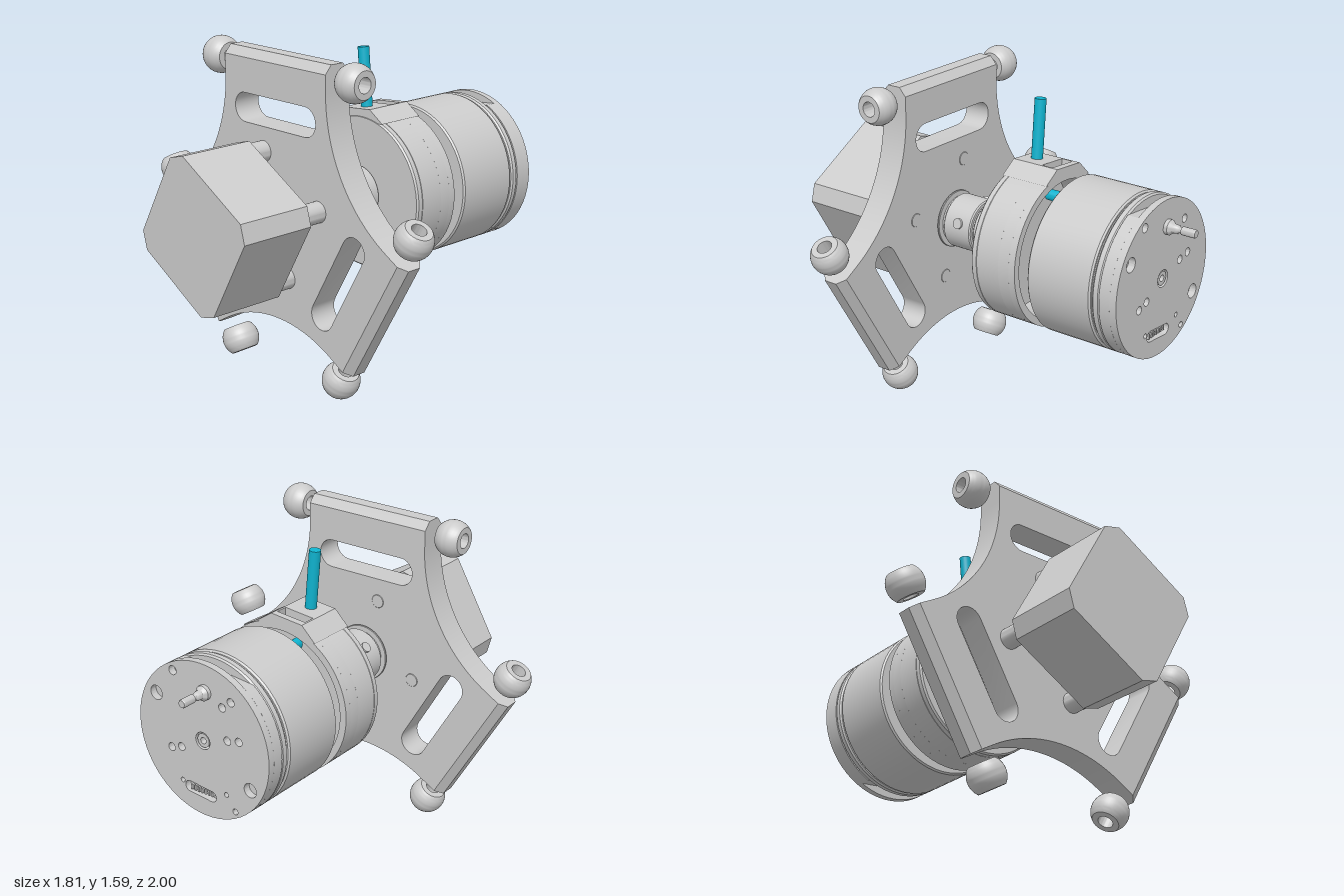
import * as THREE from 'three';
import { toCreasedNormals } from 'three/addons/utils/BufferGeometryUtils.js';

const grey = new THREE.MeshStandardMaterial({ color: 0xcccccc });
const cyan = new THREE.MeshStandardMaterial({ color: 0x0fb4d0 });
const TILT = THREE.MathUtils.degToRad(5); // cable side leans slightly off vertical

function add(parent, name, geometry, material = grey) {
  const mesh = new THREE.Mesh(geometry, material);
  mesh.name = name;
  parent.add(mesh);
  return mesh;
}

// Solid of revolution about z; profile is [radius, z] with z increasing on the outside
function turned(profile, segments = 64) {
  const g = new THREE.LatheGeometry(profile.map(([r, z]) => new THREE.Vector2(r, z)), segments);
  return toCreasedNormals(g.rotateX(Math.PI / 2), 0.5);
}

// Drum along z with small bevels
function drum(r, z0, z1, b = 0.008, segments = 64) {
  return turned([[0, z0], [r - b, z0], [r, z0 + b], [r, z1 - b], [r - b, z1], [0, z1]], segments);
}

function slab(shape, z0, z1) {
  const g = new THREE.ExtrudeGeometry(shape, { depth: z1 - z0, bevelEnabled: false, curveSegments: 32 });
  return toCreasedNormals(g.translate(0, 0, z0), 0.5);
}

function polygon(points) {
  return new THREE.Shape(points.map(([x, y]) => new THREE.Vector2(x, y)));
}

function roundHole(x, y, r) {
  return new THREE.Path().absarc(x, y, r, 0, Math.PI * 2, true);
}

// Slot of half length h (between end centres), turned by a, centred at distance d along its own up direction
function slotHole(h, r, d, a) {
  const p = [];
  for (let i = 0; i <= 32; i++) {
    const side = i <= 16 ? 1 : -1;
    const t = -Math.PI / 2 + (i <= 16 ? i : i - 1) * Math.PI / 16 + (i > 16 ? Math.PI / 16 : 0);
    p.push(new THREE.Vector2(side * h + r * Math.cos(t), d + r * Math.sin(t)).rotateAround(new THREE.Vector2(), a));
  }
  return new THREE.Path(p);
}

// Ring sector for the cup wall
function ringShape(ro, ri, a0, a1) {
  const s = new THREE.Shape();
  s.absarc(0, 0, ro, a0, a1, false);
  s.absarc(0, 0, ri, a1, a0, true);
  return s;
}

function buildPlate(rig) {
  const W = 0.342, END = 0.71, TIP = 0.75, D = 1.25, R = D * Math.cos(Math.PI / 6) - W;
  const shape = new THREE.Shape();
  const arms = [0, 1, 2].map((i) => -i * Math.PI * 2 / 3);
  arms.forEach((a, i) => {
    const at = (x, y) => new THREE.Vector2(x, y).rotateAround(new THREE.Vector2(), a);
    const p = at(-W, END), q = at(W, END);
    if (i === 0) shape.moveTo(p.x, p.y); else shape.lineTo(p.x, p.y);
    shape.lineTo(q.x, q.y);
    // hollow flank between this arm and the next
    const c = at(D * Math.cos(Math.PI / 6), D / 2);
    shape.absarc(c.x, c.y, R, a + Math.PI, a + Math.PI * 4 / 3, false);
    shape.holes.push(slotHole(0.205, 0.07, 0.476, a));
  });
  add(rig, 'triangularPlate', slab(shape, 0.37, 0.51));

  // One ball: truncated sphere with a bore along x
  const profile = [[0.036, -0.0625]];
  const lim = Math.asin(0.0625 / 0.09);
  for (let i = 0; i <= 16; i++) {
    const t = -lim + 2 * lim * i / 16;
    profile.push([0.09 * Math.cos(t), 0.09 * Math.sin(t)]);
  }
  profile.push([0.036, 0.0625], [0.036, -0.0625]);
  const ball = turned(profile, 40).rotateY(Math.PI / 2);

  // Chamfered arm tips and ball joints
  const tip = slab(polygon([[-0.07, END], [0.07, END], [0.035, TIP], [-0.035, TIP]]), -W, W);
  tip.rotateY(Math.PI / 2).translate(0, 0, 0.44);
  for (const a of arms) {
    const arm = new THREE.Group();
    arm.name = 'armEnd';
    arm.rotation.z = a;
    rig.add(arm);
    add(arm, 'armTip', tip);
    for (const s of [-1, 1]) add(arm, 'jointBall', ball).position.set(s * 0.454, 0.68, 0.44);
  }
}

function buildFrontMotor(rig) {
  // Square block with cut corners
  const pts = [];
  for (let k = 0; k < 4; k++) {
    for (const o of [-0.658, 0.658]) {
      const t = Math.PI / 3 + k * Math.PI / 2 + o;
      pts.push([0.366 * Math.cos(t), 0.366 * Math.sin(t)]);
    }
  }
  add(rig, 'frontMotorBlock', slab(polygon(pts), 0.62, 1.0));
  for (let k = 0; k < 4; k++) {
    const t = Math.PI / 12 + k * Math.PI / 2;
    const x = 0.3 * Math.cos(t), y = 0.3 * Math.sin(t);
    add(rig, 'standoff', drum(0.05, 0.5, 0.63, 0.002, 32)).position.set(x, y, 0);
    add(rig, 'plateScrewEnd', drum(0.034, 0.367, 0.4, 0.002, 32)).position.set(x, y, 0);
  }
  add(rig, 'clampCollar', drum(0.15, 0.52, 0.575));
  add(rig, 'collarBoss', drum(0.1, 0.505, 0.6));
  add(rig, 'collarScrew', new THREE.CylinderGeometry(0.022, 0.022, 0.08, 20)).position.set(0.1, 0.12, 0.55);
  add(rig, 'frontShaft', drum(0.05, 0.3, 0.63, 0.002, 32));
}

function buildCoupling(rig) {
  add(rig, 'couplingCore', drum(0.115, -0.05, 0.34));
  for (const [z0, z1] of [[-0.03, 0.148], [0.166, 0.33]]) {
    const zm = z0 < 0 ? 0.06 : 0.24;
    add(rig, 'couplingClamp', drum(0.135, z0, z1, 0.006));
    // clamp screws around each half
    for (const a of [0.3, 0.3 + Math.PI * 2 / 3, 0.3 - Math.PI * 2 / 3]) {
      const g = new THREE.CylinderGeometry(0.026, 0.026, 0.05, 20).rotateZ(Math.PI / 2);
      const m = add(rig, 'couplingScrew', g);
      m.position.set(0.12 * Math.cos(a), 0.12 * Math.sin(a), zm);
      m.rotation.z = a;
    }
  }
  add(rig, 'bearingFlange', drum(0.12, 0.335, 0.348, 0.002));
  add(rig, 'bearingRim', drum(0.145, 0.35, 0.36, 0.002));
  add(rig, 'bearingSeat', drum(0.11, 0.33, 0.38, 0.002));
}

function buildCup(rig) {
  const cup = new THREE.Group();
  cup.name = 'rearCup';
  cup.rotation.z = TILT;
  rig.add(cup);
  const R = 0.38, RI = 0.345, up = Math.PI / 2, gap = 0.22;
  add(cup, 'cupFace', drum(R, -0.08, -0.04));
  const full = ringShape(R, RI, 0, Math.PI * 2);
  add(cup, 'cupWall', slab(full, -0.2, -0.075));
  add(cup, 'cupSlottedWall', slab(ringShape(R, RI, up + gap, up - gap + Math.PI * 2), -0.26, -0.2));
  add(cup, 'cupRim', slab(full, -0.295, -0.26));

  // Flat cable pad on top of the cup, open above the slot
  const pad = polygon([[-0.17, 0.345], [0.17, 0.345], [0.09, 0.41], [-0.09, 0.41]]);
  add(cup, 'cablePad', slab(pad, -0.2, -0.042));
  add(cup, 'cablePadRear', slab(pad, -0.295, -0.26));
  for (const s of [-1, 1]) {
    const cheek = s < 0 ? [[-0.17, 0.345], [-0.08, 0.345], [-0.08, 0.41], [-0.09, 0.41]]
      : [[0.17, 0.345], [0.09, 0.41], [0.08, 0.41], [0.08, 0.345]];
    add(cup, 'cablePadCheek', slab(polygon(cheek), -0.26, -0.2));
  }
  add(cup, 'upperCable', new THREE.CylinderGeometry(0.028, 0.028, 0.38, 24), cyan).position.set(0, 0.51, -0.112);
  add(cup, 'innerCable', drum(0.027, -0.38, -0.19, 0.001, 24), cyan).position.y = 0.25;
}

function buildRearMotor(rig) {
  const motor = new THREE.Group();
  motor.name = 'rearMotor';
  rig.add(motor);
  const R = 0.38;
  add(motor, 'motorStub', drum(0.038, -0.37, -0.32, 0.004, 32)).position.x = 0.01;
  add(motor, 'motorBody', drum(R, -0.71, -0.365));
  add(motor, 'motorGroove', drum(0.365, -0.73, -0.7, 0.001));
  add(motor, 'endCapFront', drum(R, -0.76, -0.72));

  // Middle slice with a flat at top and bottom forms the side slots
  const core = new THREE.Shape();
  const f = Math.asin(0.325 / R);
  core.absarc(0, 0, R, -f, f, false);
  core.absarc(0, 0, R, Math.PI - f, Math.PI + f, false);
  core.closePath();
  add(motor, 'endCapSlotted', slab(core, -0.815, -0.76)).rotation.z = TILT;

  // Rear face with its holes
  const face = new THREE.Shape().absarc(0, 0, R, 0, Math.PI * 2, false);
  const holes = [[0.27, 0.16, 0.035], [-0.27, -0.16, 0.035], [0.165, 0.3, 0.022], [-0.18, -0.3, 0.015],
    [-0.144, 0.045, 0.02], [-0.21, 0.06, 0.02], [0.13, -0.07, 0.02], [0.19, -0.09, 0.02],
    [0.13, -0.24, 0.012], [-0.13, -0.23, 0.012], [-0.12, 0.2, 0.02], [-0.17, 0.24, 0.02]];
  for (const h of holes) face.holes.push(roundHole(...h));
  face.holes.push(roundHole(0, 0, 0.042), slotHole(0.065, 0.027, -0.265, TILT));
  add(motor, 'endCapRear', slab(face, -0.85, -0.815));
  add(motor, 'centreBush', turned([[0.016, -0.846], [0.034, -0.846], [0.034, -0.81], [0.016, -0.81], [0.016, -0.846]], 32));

  // Connector pins in the lower slot
  for (let i = -3; i <= 3; i++) {
    add(motor, 'connectorPin', new THREE.BoxGeometry(0.01, 0.025, 0.03)).position.set(0.023 + i * 0.02, -0.264, -0.828);
  }

  // Cable gland at the rear
  const gland = turned([[0, -1.0], [0.017, -1.0], [0.02, -0.995], [0.02, -0.93], [0.014, -0.93], [0.014, -0.915],
    [0.02, -0.905], [0.022, -0.885], [0.036, -0.868], [0.036, -0.84], [0, -0.84]], 28);
  add(motor, 'cableGland', gland).position.set(-0.022, 0.247, 0);
}

export function createModel() {
  const model = new THREE.Group();
  model.name = 'motorCouplingAssembly';
  const rig = new THREE.Group();
  rig.name = 'assembly';
  rig.position.y = 0.827;
  model.add(rig);
  buildPlate(rig);
  buildFrontMotor(rig);
  buildCoupling(rig);
  buildCup(rig);
  buildRearMotor(rig);
  return model;
}
